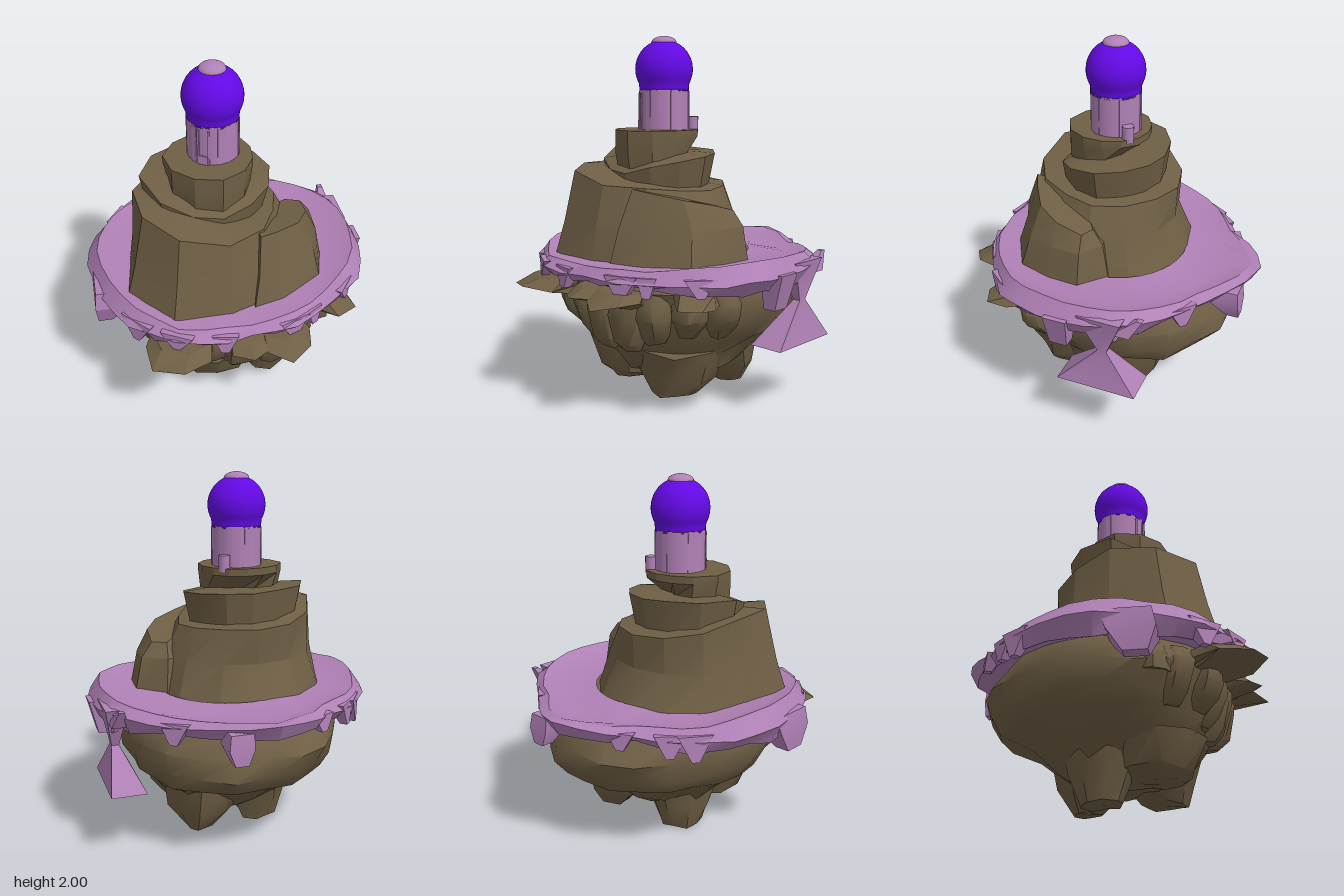
import * as THREE from 'three';
import { toCreasedNormals } from 'three/addons/utils/BufferGeometryUtils.js';

const mat = (color) => new THREE.MeshStandardMaterial({ color, side: THREE.DoubleSide });
const rock = mat(0x6f5f45), grass = mat(0xb081b6), glass = mat(0x6309e4);

// Repeatable noise in -1..1 from any three numbers
const noise = (a, b = 0, c = 0) => {
  const s = Math.sin(a * 127.1 + b * 311.7 + c * 74.7) * 43758.5453;
  return (s - Math.floor(s)) * 2 - 1;
};

// Value at fraction t of a cyclic list; a plain number is constant
const around = (list, t) => {
  if (typeof list === 'number') return list;
  const f = t * list.length, i = Math.floor(f), k = f - i, n = list.length;
  return list[i % n] * (1 - k) + list[(i + 1) % n] * k;
};

// Ring of points; angle 0 is the front and grows towards +x
function ring(cx, cz, radii, heights, n = 12, rough = 0, seed = 0) {
  return Array.from({ length: n }, (_, i) => {
    const a = (i / n) * Math.PI * 2;
    const r = around(radii, i / n) + rough * noise(i, seed, 1);
    return [cx + r * Math.sin(a), around(heights, i / n) + rough * 0.5 * noise(i, seed, 2), cz + r * Math.cos(a)];
  });
}

// Rectangle of points for hanging pieces
const rect = (x0, x1, y, z0, z1) => [[x0, y, z1], [x1, y, z1], [x1, y, z0], [x0, y, z0]];

// Skin over rings listed from bottom to top
function loft(rings, caps = true, crease = 0.5) {
  const pos = [], n = rings[0].length;
  const tri = (...p) => p.forEach((v) => pos.push(...v));
  for (let j = 0; j < rings.length - 1; j++)
    for (let i = 0; i < n; i++) {
      const k = (i + 1) % n, a = rings[j], b = rings[j + 1];
      tri(a[i], a[k], b[k]);
      tri(a[i], b[k], b[i]);
    }
  if (caps) {
    const mid = (r) => [0, 1, 2].map((c) => r.reduce((s, p) => s + p[c], 0) / n);
    const lo = rings[0], hi = rings[rings.length - 1], ml = mid(lo), mh = mid(hi);
    for (let i = 0; i < n; i++) {
      const k = (i + 1) % n;
      tri(ml, lo[k], lo[i]);
      tri(mh, hi[i], hi[k]);
    }
  }
  const g = new THREE.BufferGeometry();
  g.setAttribute('position', new THREE.Float32BufferAttribute(pos, 3));
  return toCreasedNormals(g, crease);
}

export function createModel() {
  const model = new THREE.Group();
  const add = (name, geometry, material, x = 0, y = 0, z = 0, parent = model) => {
    const m = new THREE.Mesh(geometry, material);
    m.name = name;
    m.position.set(x, y, z);
    parent.add(m);
    return m;
  };
  const cx = -0.07, cz = 0.04;

  // Underside of the floating island, bulging at the back
  add('lowerRock', loft([
    ring(0.02, 0.02, 0.2, 0.12, 24, 0.02, 1),
    ring(0.02, 0, [0.38, 0.39, 0.4, 0.37, 0.34, 0.32, 0.31, 0.32, 0.33, 0.34, 0.37, 0.39], 0.22, 24, 0.025, 2),
    ring(0, 0, [0.47, 0.47, 0.46, 0.44, 0.45, 0.44, 0.42, 0.42, 0.43, 0.45, 0.48, 0.5], 0.33, 24, 0.025, 3),
    ring(0, 0, [0.5, 0.5, 0.53, 0.55, 0.6, 0.63, 0.65, 0.6, 0.56, 0.54, 0.54, 0.54], 0.41, 24, 0.025, 4),
    ring(0, 0, [0.55, 0.54, 0.57, 0.6, 0.65, 0.69, 0.71, 0.66, 0.61, 0.59, 0.59, 0.58], 0.5, 24, 0.025, 7),
    ring(0, 0, [0.58, 0.57, 0.6, 0.64, 0.66, 0.69, 0.71, 0.67, 0.64, 0.66, 0.65, 0.61], 0.61, 24, 0.025, 5),
    ring(0, 0, 0.63, 0.7, 24, 0.02, 6),
    ring(0, 0, 0.56, 0.79, 24),
  ], true, 0.7), rock);

  // Blunt rock feet: tip x, y, z and radius, then root x, z and radius
  [[-0.17, 0, -0.05, 0.11, -0.13, -0.03, 0.25], [0.23, 0.04, -0.19, 0.085, 0.18, -0.13, 0.25],
    [0.21, 0.07, 0.23, 0.12, 0.18, 0.19, 0.28], [-0.12, 0.11, 0.26, 0.1, -0.14, 0.21, 0.28]]
    .forEach(([x, y, z, tip, rx, rz, r], i) => add('rockFoot', loft([
      ring(x, z, tip, y + 0.012, 9, 0.018, i),
      ring((x + rx) / 2, (z + rz) / 2, r * 0.72, 0.17, 9, 0.025, i + 10),
      ring(rx, rz, r, 0.34, 9, 0.02, i + 20),
    ], true, 0.7), rock));

  // Rounded rock columns across the front, leaning inwards below the rim
  for (let i = -4; i <= 4; i++) {
    const a = i * 0.29 + 0.05 * noise(i, 4), low = 0.34 + 0.035 * Math.abs(i) + 0.03 * noise(i, 5);
    const r = 0.555 + 0.02 * noise(i, 7) + 0.01 * Math.abs(i);
    const at = (s, size, y, seed) => ring(r * s * Math.sin(a), r * s * Math.cos(a), size, y, 9, 0.012, i + seed);
    add('rockColumn', loft([
      at(0.88, 0.05, low, 0), at(0.92, 0.085, low + 0.06, 20), at(0.98, 0.095, 0.56, 40),
      at(1, 0.09, 0.64, 60), at(0.98, 0.06, 0.71, 80),
    ], true, 0.9), rock);
  }

  // Thin rock slabs poking out below the rim: x, z, half width
  [[-0.37, 0.62, 0.2], [0.0, 0.65, 0.14], [0.2, 0.66, 0.15], [0.53, 0.42, 0.13]].forEach(([x, z, r], i) =>
    add('rockSlab', loft([ring(x * 0.82, z * 0.82, r * 0.7, 0.62, 7),
      ring(x, z, r, 0.66, 7, 0.03, i), ring(x * 0.9, z * 0.9, r * 0.85, 0.71, 7)]), rock));

  // Overgrown rim with a ragged outer edge
  const outer = [0.73, 0.73, 0.78, 0.79, 0.78, 0.72, 0.85, 0.72, 0.76, 0.79, 0.8, 0.79];
  const grow = (s) => outer.map((r) => r * s);
  const hang = [0.74, 0.74, 0.71, 0.69, 0.72, 0.73, 0.74, 0.74, 0.7, 0.67, 0.68, 0.73];
  add('grassRim', loft([
    ring(0, 0, 0.58, 0.75, 36),
    ring(0, 0, grow(0.94), hang, 36, 0.025, 31),
    ring(0, 0, grow(1), [0.77, 0.77, 0.77, 0.78, 0.8, 0.78, 0.83, 0.78, 0.76, 0.78, 0.76, 0.77], 36, 0.015, 32),
    ring(0, 0, grow(0.93), [0.82, 0.83, 0.86, 0.87, 0.84, 0.81, 0.84, 0.82, 0.83, 0.88, 0.86, 0.82], 36, 0.012, 33),
    ring(0, 0, grow(0.8), [0.82, 0.82, 0.83, 0.83, 0.81, 0.79, 0.8, 0.8, 0.81, 0.84, 0.83, 0.82], 36),
    ring(0, 0, 0.4, 0.82, 36),
  ], false, 0.45), grass);

  // Pointed drips along the edge: angle in degrees, length, half width
  [[-30, 0.07, 0.09], [-11, 0.09, 0.07], [20, 0.1, 0.09], [31, 0.08, 0.05], [52, 0.07, 0.08],
    [-48, 0.11, 0.1], [-125, 0.12, 0.09], [-135, 0.1, 0.08], [-155, 0.07, 0.07],
    [110, 0.09, 0.08], [140, 0.09, 0.08]].forEach(([deg, len, w]) => {
    const a = THREE.MathUtils.degToRad(deg), r = around(outer, ((deg + 360) % 360) / 360) * 0.95;
    add('grassDrip', loft([rect(-0.02, 0.02, -len, -0.01, 0.03), rect(-w, w, 0.02, -0.07, 0.025)]),
      grass, r * Math.sin(a), 0.78, r * Math.cos(a)).rotation.y = a;
  });

  // Hanging clumps: a twisted one at the left, a wide one at the right, and loose tufts
  add('hangingClump', loft([
    rect(0.57, 0.76, 0.375, -0.4, 0.04),
    rect(0.68, 0.72, 0.6, -0.23, -0.18),
    rect(0.64, 0.76, 0.82, -0.32, -0.08),
  ]), grass);
  add('wideClump', loft([
    rect(-0.77, -0.69, 0.58, 0.14, 0.26),
    rect(-0.78, -0.6, 0.7, 0.06, 0.3),
    rect(-0.77, -0.64, 0.8, 0.02, 0.28),
  ]), grass);
  add('sideTuft', loft([rect(0.68, 0.75, 0.6, -0.02, 0.08), rect(0.66, 0.8, 0.79, -0.04, 0.09)]), grass);
  add('sideTuft', loft([rect(0.65, 0.74, 0.74, -0.36, -0.26), rect(0.68, 0.71, 0.84, -0.42, -0.39)]), grass);
  add('backTuft', loft([rect(0.15, 0.22, 0.63, -0.79, -0.72), rect(0.12, 0.25, 0.71, -0.79, -0.64),
    rect(0.12, 0.24, 0.79, -0.78, -0.68)]), grass);

  // Spiral mound: main body, low ramp at the left, middle ledge and summit
  add('moundBody', loft([
    ring(cx, cz, [0.55, 0.54, 0.52, 0.49, 0.48, 0.46, 0.45, 0.46, 0.48, 0.49, 0.62, 0.63], 0.79),
    ring(cx, cz, [0.51, 0.48, 0.44, 0.43, 0.41, 0.37, 0.36, 0.37, 0.41, 0.46, 0.55, 0.57], 1.0),
    ring(cx, cz, [0.46, 0.4, 0.34, 0.34, 0.34, 0.35, 0.37, 0.38, 0.4, 0.44, 0.48, 0.51],
      [1.21, 1.2, 1.18, 1.17, 1.18, 1.19, 1.19, 1.2, 1.23, 1.29, 1.29, 1.27]),
    ring(cx, cz, 0.2, [1.24, 1.22, 1.2, 1.2, 1.2, 1.2, 1.21, 1.22, 1.25, 1.3, 1.3, 1.27]),
  ], true, 0.4), rock);
  add('moundRamp', loft([
    [[0.05, 0.8, 0.57], [0.22, 0.8, 0.53], [0.46, 0.8, 0.39], [0.52, 0.8, 0.2], [0.53, 0.8, 0.02], [0.38, 0.8, -0.1], [0.1, 0.8, 0]],
    [[0.08, 1, 0.53], [0.22, 1, 0.46], [0.42, 1, 0.34], [0.48, 1, 0.19], [0.49, 1, 0.02], [0.36, 1, -0.06], [0.1, 1, 0]],
    [[0.1, 1.2, 0.45], [0.2, 1.18, 0.4], [0.34, 1.15, 0.31], [0.42, 1.12, 0.18], [0.43, 1.08, 0.03], [0.35, 1.08, 0], [0.1, 1.16, 0.2]],
  ], true, 0.4), rock);
  add('middleLedge', loft([
    ring(cx, cz, [0.29, 0.28, 0.27, 0.27, 0.25, 0.25, 0.26, 0.28, 0.32, 0.36, 0.34, 0.31], 1.16),
    ring(cx, cz, [0.3, 0.3, 0.31, 0.31, 0.29, 0.29, 0.29, 0.31, 0.36, 0.4, 0.36, 0.31],
      [1.26, 1.3, 1.33, 1.35, 1.36, 1.37, 1.37, 1.38, 1.38, 1.38, 1.32, 1.27]),
    ring(cx, cz, 0.15, 1.37),
  ], true, 0.4), rock);
  add('summit', loft([
    ring(cx, cz, [0.26, 0.24, 0.2, 0.16, 0.1, 0.07, 0.07, 0.1, 0.18, 0.23, 0.25, 0.26], 1.24),
    ring(cx, cz, [0.28, 0.25, 0.21, 0.17, 0.1, 0.07, 0.07, 0.12, 0.2, 0.25, 0.28, 0.28], 1.36),
    ring(cx, cz, [0.28, 0.25, 0.22, 0.2, 0.19, 0.19, 0.19, 0.2, 0.23, 0.27, 0.28, 0.28], 1.45),
    ring(cx, cz, [0.28, 0.25, 0.22, 0.2, 0.19, 0.19, 0.19, 0.2, 0.23, 0.27, 0.28, 0.28], 1.49),
  ], true, 0.4), rock);

  // Tower with slim ribs, doorway and a small side pipe
  const tower = new THREE.Group();
  tower.name = 'tower';
  tower.position.set(cx, 0, cz);
  model.add(tower);
  add('towerWall', new THREE.CylinderGeometry(0.138, 0.138, 0.22, 40), grass, 0, 1.6, 0, tower);
  for (let i = 0; i < 6; i++) {
    const a = (i / 6) * Math.PI * 2 + 0.1;
    add('towerRib', new THREE.BoxGeometry(0.03, 0.21, 0.008), grass, 0.136 * Math.sin(a), 1.595, 0.136 * Math.cos(a), tower)
      .rotation.y = a;
  }
  [-0.75, -0.35].forEach((a) => add('doorPost', new THREE.BoxGeometry(0.012, 0.2, 0.014), grass,
    0.136 * Math.sin(a), 1.59, 0.136 * Math.cos(a), tower).rotation.y = a);
  add('doorStep', new THREE.BoxGeometry(0.05, 0.05, 0.02), grass, -0.07, 1.515, 0.115, tower).rotation.y = -0.55;
  add('sidePipe', new THREE.CylinderGeometry(0.032, 0.032, 0.09, 16), grass, 0.11, 1.515, -0.115, tower);

  // Glass bulb with a short straight neck, and its cap
  const bulb = [[0, 1.7], [0.138, 1.7], [0.138, 1.72]];
  for (let i = 0; i <= 20; i++) {
    const a = -0.5 + (i / 20) * (Math.PI / 2 + 0.5);
    bulb.push([Math.max(0, 0.16 * Math.cos(a)), 1.82 + 0.16 * Math.sin(a)]);
  }
  add('bulb', new THREE.LatheGeometry(bulb.map(([r, y]) => new THREE.Vector2(r, y)), 40), glass, 0, 0, 0, tower);
  add('bulbCap', new THREE.SphereGeometry(0.07, 24, 12, 0, Math.PI * 2, 0, Math.PI / 2), grass, 0, 1.965, 0, tower)
    .scale.y = 0.5;
  return model;
}
